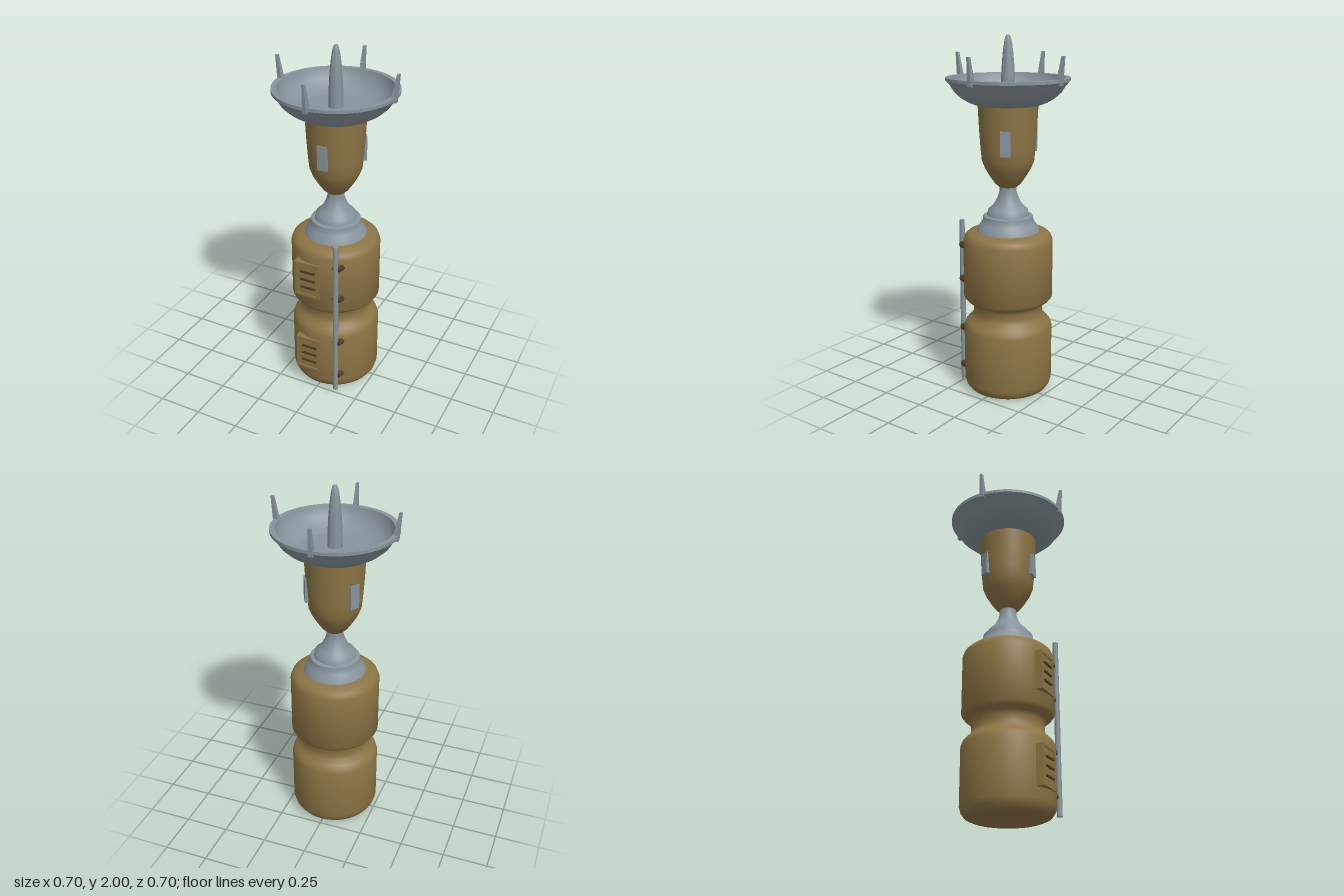
import * as THREE from 'three';
import { toCreasedNormals } from 'three/addons/utils/BufferGeometryUtils.js';

const material = (name, color) => {
  const m = new THREE.MeshStandardMaterial({ color });
  m.name = name;
  return m;
};

export function createModel() {
  const brass = material('ochre brown', 0x8c7445);
  const steel = material('blue grey', 0x87949c);
  const dark = material('dark brown', 0x4c3c24);
  const model = new THREE.Group();
  model.name = 'device';

  const add = (name, geometry, mat, parent = model) => {
    const mesh = new THREE.Mesh(geometry, mat);
    mesh.name = name;
    parent.add(mesh);
    return mesh;
  };
  // Profiles are [radius, height], ordered so that faces point outward
  const lathe = (name, profile, mat, crease = 0.5) => {
    const points = profile.map(([r, y]) => new THREE.Vector2(r, y));
    return add(name, toCreasedNormals(new THREE.LatheGeometry(points, 64), crease), mat);
  };

  // Two-chambered canister with a pinched waist
  lathe('canister', [
    [0, 0], [0.195, 0], [0.225, 0.013], [0.241, 0.035], [0.25, 0.065],
    [0.25, 0.375], [0.242, 0.4], [0.225, 0.42], [0.202, 0.442], [0.195, 0.465],
    [0.195, 0.505], [0.205, 0.525], [0.235, 0.54], [0.25, 0.56],
    [0.25, 0.885], [0.24, 0.912], [0.222, 0.928], [0.18, 0.937], [0, 0.937],
  ], brass, 0.7);

  // Stepped cone and thin neck
  lathe('neck', [
    [0.175, 0.935], [0.168, 0.955], [0.148, 0.985], [0.14, 1.0], [0.138, 1.022],
    [0.117, 1.027], [0.11, 1.057], [0.088, 1.075], [0.07, 1.1], [0.055, 1.132],
    [0.047, 1.16], [0.047, 1.2],
  ], steel, 0.8);

  // Tapered cup under the dish
  lathe('cup', [
    [0, 1.185], [0.05, 1.185], [0.072, 1.205], [0.1, 1.245], [0.125, 1.287],
    [0.143, 1.33], [0.15, 1.4], [0.157, 1.5], [0.164, 1.64],
  ], brass);

  // Hollow dish: underside, rim, inside, floor
  lathe('dish', [
    [0, 1.632], [0.175, 1.635], [0.215, 1.65], [0.255, 1.674], [0.287, 1.703],
    [0.312, 1.742], [0.334, 1.765], [0.334, 1.782],
    [0.306, 1.782], [0.302, 1.765], [0.285, 1.728], [0.255, 1.698],
    [0.22, 1.68], [0.182, 1.67], [0.18, 1.675], [0, 1.675],
  ], steel);

  // Central bullet-shaped spike
  lathe('spike', [
    [0.04, 1.67], [0.038, 1.76], [0.034, 1.84], [0.028, 1.91],
    [0.021, 1.96], [0.015, 1.988], [0.009, 2.0], [0, 2.0],
  ], steel);

  // Four tapered prongs leaning out from the rim
  const prongShape = new THREE.BoxGeometry(2, 1, 2);
  const pos = prongShape.attributes.position;
  for (let i = 0; i < pos.count; i++) {
    const top = pos.getY(i) > 0;
    const outer = pos.getZ(i) > 0;
    const half = (top ? 0.008 : 0.016) * (outer ? 0.75 : 1.05);
    const z = top ? (outer ? 0.351 : 0.336) : (outer ? 0.338 : 0.307);
    pos.setXYZ(i, Math.sign(pos.getX(i)) * half, top ? 1.902 : 1.752, z);
  }
  prongShape.computeVertexNormals();
  for (let i = 0; i < 4; i++) {
    add('prong', prongShape, steel).rotation.y = i * Math.PI / 2;
  }

  // Three plates around the cup
  const plateShape = new THREE.BoxGeometry(0.056, 0.135, 0.03);
  plateShape.translate(0, 1.443, 0.149);
  for (let i = 0; i < 3; i++) {
    add('cupPlate', plateShape, steel).rotation.y = i * Math.PI * 2 / 3;
  }

  // Side rod with its mounting knobs
  const rod = add('rod', new THREE.CylinderGeometry(0.015, 0.015, 0.968, 16), steel);
  rod.position.set(0.116, 0.501, 0.235);
  const knobShape = toCreasedNormals(new THREE.CylinderGeometry(0.024, 0.035, 0.04, 8), 0.3);
  knobShape.rotateX(Math.PI / 2);
  knobShape.scale(1, 0.8, 1);
  for (const y of [0.12, 0.35, 0.645, 0.845]) {
    add('rodKnob', knobShape, dark).position.set(0.12, y, 0.217);
  }

  // Framed vent panels on the front
  const rectangle = (path, w, h) => path.moveTo(-w, -h).lineTo(w, -h).lineTo(w, h).lineTo(-w, h).closePath();
  const frame = rectangle(new THREE.Shape(), 0.075, 0.108);
  frame.holes.push(rectangle(new THREE.Path(), 0.061, 0.094));
  const frameShape = new THREE.ExtrudeGeometry(frame, { depth: 0.06, bevelEnabled: false });
  for (const y of [0.23, 0.738]) {
    const vent = new THREE.Group();
    vent.name = 'ventPanel';
    vent.position.set(-0.05, y, 0);
    model.add(vent);
    add('ventFrame', frameShape, brass, vent).position.z = 0.2;
    add('ventBack', new THREE.BoxGeometry(0.124, 0.19, 0.05), brass, vent).position.z = 0.228;
    for (const dy of [-0.05, 0, 0.05]) {
      add('ventSlat', new THREE.BoxGeometry(0.09, 0.01, 0.009), dark, vent).position.set(0.005, dy, 0.257);
    }
  }
  return model;
}
